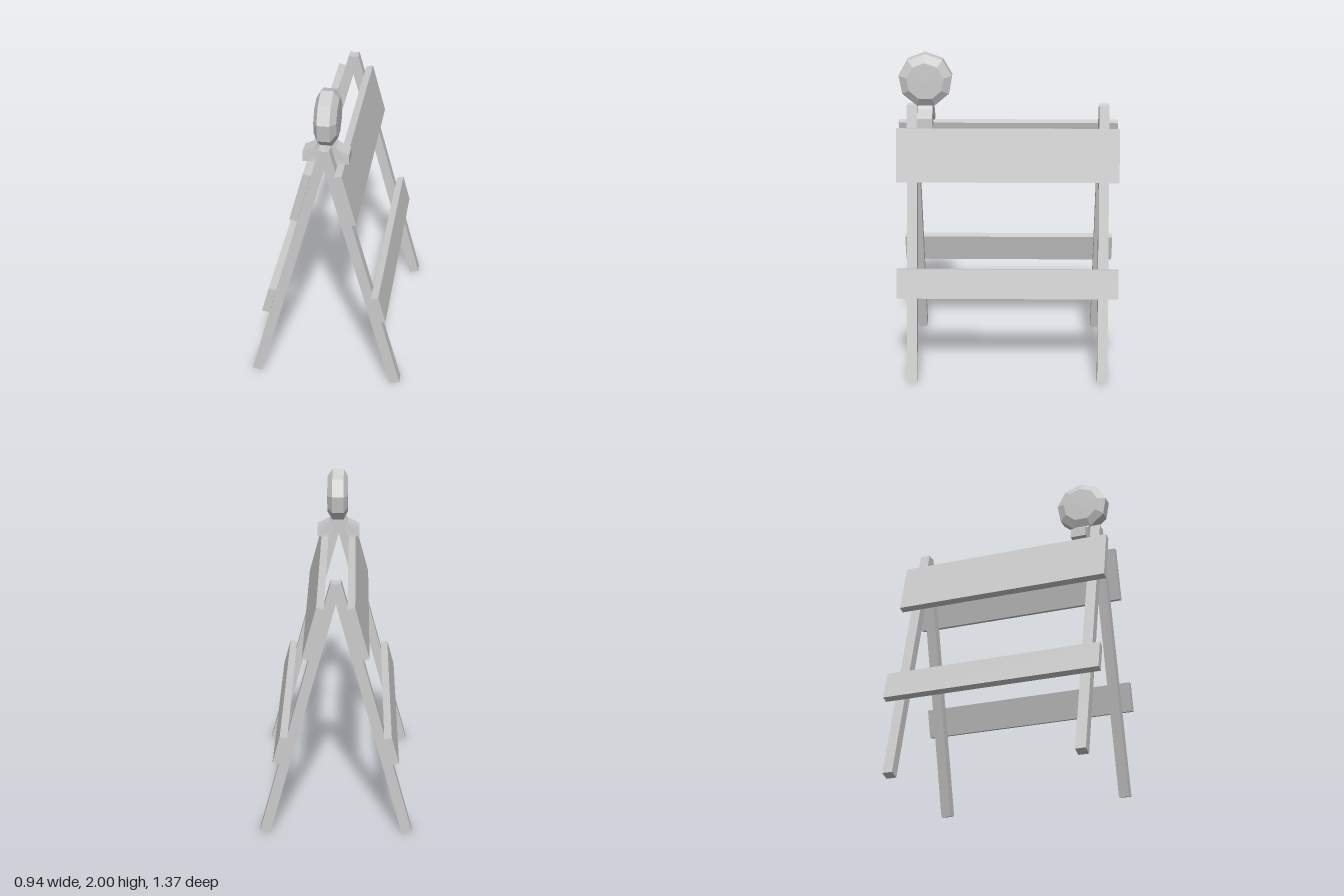
import * as THREE from 'three';

const material = new THREE.MeshStandardMaterial({ color: 0xcccccc, flatShading: true });

function addMesh(parent, name, geometry) {
  const mesh = new THREE.Mesh(geometry, material);
  mesh.name = name;
  parent.add(mesh);
  return mesh;
}

export function createModel() {
  const model = new THREE.Group();
  const apexY = 1.67;
  const tilt = Math.atan2(0.44, 1.66);
  const legLength = Math.hypot(0.44, 1.66);
  const legWidth = 0.063, boardThickness = 0.046;

  // Two leaning frames, hinged at the apex; each is built hanging straight down
  for (const side of [1, -1]) {
    const frame = new THREE.Group();
    frame.name = side > 0 ? 'leftFrame' : 'rightFrame';
    frame.position.y = apexY;
    frame.rotation.z = side * tilt;
    model.add(frame);

    for (const z of [0.592, -0.592]) {
      const leg = addMesh(frame, z > 0 ? 'frontLeg' : 'backLeg',
        new THREE.BoxGeometry(legWidth, legLength, legWidth));
      leg.position.set(0, -legLength / 2, z);
    }

    // Boards on the outer faces of the legs: distance down the leg and height
    const boards = [['upperBoard', 0.307, 0.332], ['lowerBoard', 1.1, 0.182]];
    for (const [name, down, height] of boards) {
      const board = addMesh(frame, name, new THREE.BoxGeometry(boardThickness, height, 1.37));
      board.position.set(side * (legWidth + boardThickness) / 2, -down, 0);
    }
  }

  // Warning lamp
  const lamp = new THREE.Group();
  lamp.name = 'warningLamp';
  lamp.position.z = 0.508;
  model.add(lamp);

  // Arched saddle resting on the upper boards
  const half = [[0.04, 1.68], [0.06, 1.658], [0.135, 1.62], [0.135, 1.56], [0.07, 1.56], [0.03, 1.61]];
  const outline = [...half, ...half.map(([x, y]) => [-x, y]).reverse()];
  const saddleShape = new THREE.Shape(outline.map(([x, y]) => new THREE.Vector2(x, y)));
  const saddle = new THREE.ExtrudeGeometry(saddleShape, { depth: 0.1, bevelEnabled: false });
  saddle.translate(0, 0, -0.05);
  // Narrow it slightly towards the lamp
  const p = saddle.attributes.position;
  for (let i = 0; i < p.count; i++) {
    if (p.getY(i) > 1.6) p.setZ(i, p.getZ(i) * 0.92);
  }
  saddle.computeVertexNormals();
  addMesh(lamp, 'lampSaddle', saddle);

  // Faceted disc with its axis across the barricade
  const profile = [[0, -0.064], [0.115, -0.062], [0.165, -0.036], [0.165, 0.036], [0.115, 0.068], [0, 0.07]]
    .map(([r, h]) => new THREE.Vector2(r, h));
  const lens = addMesh(lamp, 'lampLens', new THREE.LatheGeometry(profile, 9, -Math.PI / 2));
  lens.rotation.z = -Math.PI / 2;
  lens.position.set(0.003, 1.835, -0.003);

  return model;
}
